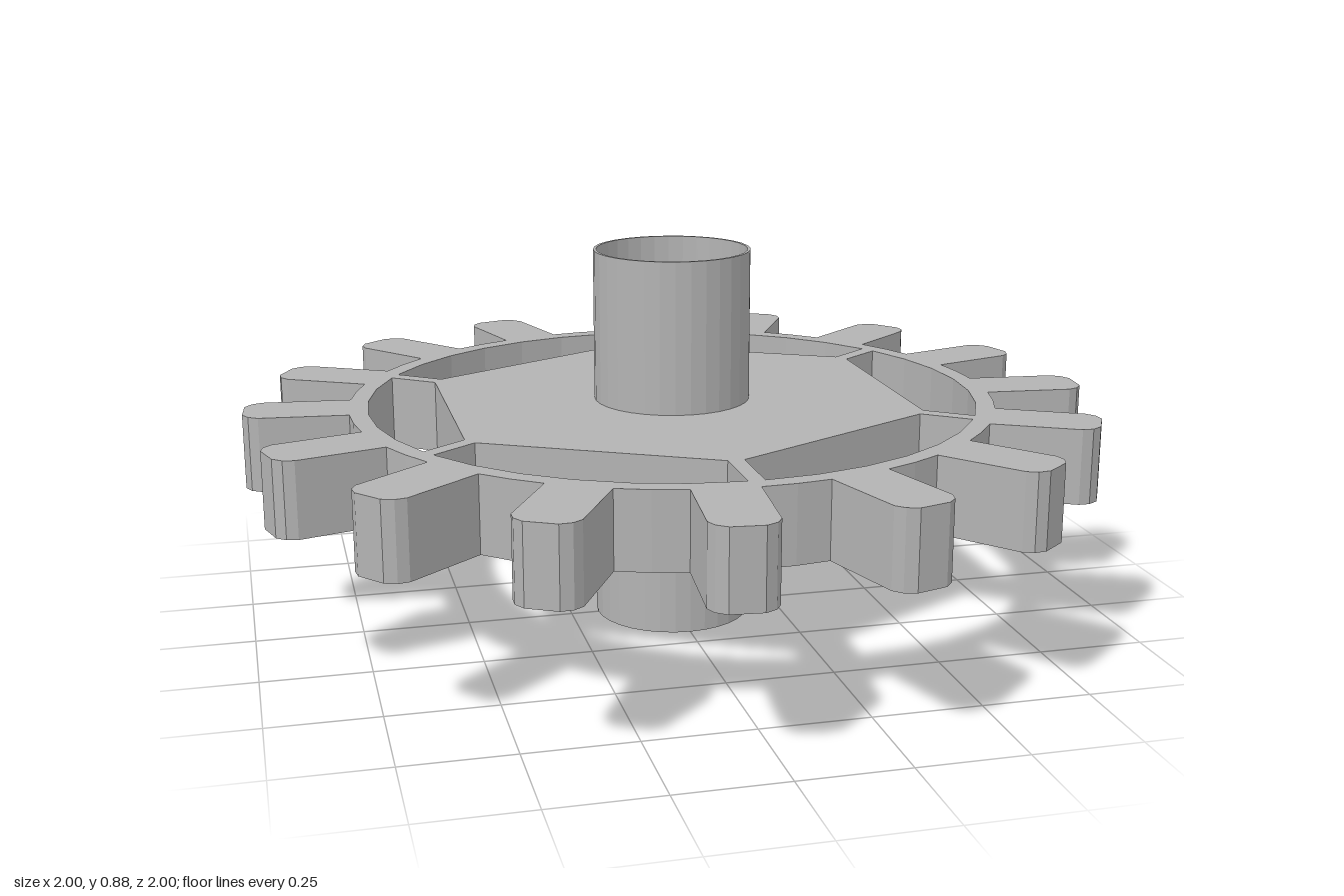
import * as THREE from 'three';

const TEETH = 16;
const BOTTOM = 0.355, THICK = 0.175;
const RIM_OUT = 0.76, RIM_IN = 0.717, TIP = 1.0;
const HALF_TOOTH = 0.072, HALF_TIP = 0.036, HALF_SPOKE = 0.018;

const polar = (r, a) => new THREE.Vector2(r * Math.cos(a), r * Math.sin(a));

// Toothed outline: straight-sided teeth with chamfered tips, joined by rim arcs
function toothedOutline() {
  const points = [];
  const step = (Math.PI * 2) / TEETH;
  const root = Math.asin(HALF_TOOTH / RIM_OUT);
  const profile = [
    [RIM_OUT * Math.cos(root), -HALF_TOOTH], [0.962, -HALF_TOOTH], [0.985, -0.06], [TIP, -HALF_TIP],
    [TIP, HALF_TIP], [0.985, 0.06], [0.962, HALF_TOOTH], [RIM_OUT * Math.cos(root), HALF_TOOTH],
  ];
  for (let i = 0; i < TEETH; i++) {
    const a = (i - 0.25) * step;
    for (const [r, w] of profile) {
      points.push(new THREE.Vector2(r, w).rotateAround(new THREE.Vector2(), a));
    }
    points.push(polar(RIM_OUT, a + step / 2));
  }
  return points;
}

// Window between two spokes: rim arc outside, one hexagon side inside
function windowHole(i, corners) {
  const a = Math.PI / 6 + (i * Math.PI) / 3, b = a + Math.PI / 3;
  const trim = Math.asin(HALF_SPOKE / RIM_IN);
  const from = corners[i], to = corners[(i + 1) % 6];
  const points = [];
  for (let k = 0; k <= 6; k++) {
    points.push(polar(RIM_IN, THREE.MathUtils.lerp(a + trim, b - trim, k / 6)));
  }
  points.push(to.clone().lerp(from, 0.035), from.clone().lerp(to, 0.035));
  return new THREE.Path(points);
}

export function createModel() {
  const group = new THREE.Group();
  group.name = 'gearWheel';
  const metal = new THREE.MeshStandardMaterial({ color: 0xb3b3b3, flatShading: true });
  metal.name = 'grey metal';

  // Wheel: teeth, rim, spokes and hexagonal web in one plate
  const shape = new THREE.Shape(toothedOutline());
  const corners = [[0.532, 0.29], [0, 0.575], [-0.532, 0.29], [-0.532, -0.29], [0, -0.575], [0.532, -0.29]]
    .map(([x, y]) => new THREE.Vector2(x, y));
  for (let i = 0; i < 6; i++) shape.holes.push(windowHole(i, corners));
  const wheelGeometry = new THREE.ExtrudeGeometry(shape, { depth: THICK, bevelEnabled: false });
  wheelGeometry.rotateX(-Math.PI / 2).translate(0, BOTTOM, 0);
  const wheel = new THREE.Mesh(wheelGeometry, metal);
  wheel.name = 'toothedWheel';
  group.add(wheel);

  // Thin-walled hub tubes, one above and one below the web
  const hub = (name, y0, y1) => {
    const profile = [[0.177, y0], [0.184, y0], [0.184, y1], [0.177, y1], [0.177, y0]]
      .map(([r, y]) => new THREE.Vector2(r, y));
    const mesh = new THREE.Mesh(new THREE.LatheGeometry(profile, 32), metal);
    mesh.name = name;
    group.add(mesh);
  };
  hub('upperHub', BOTTOM + THICK, 0.885);
  hub('lowerHub', 0, BOTTOM);

  return group;
}
